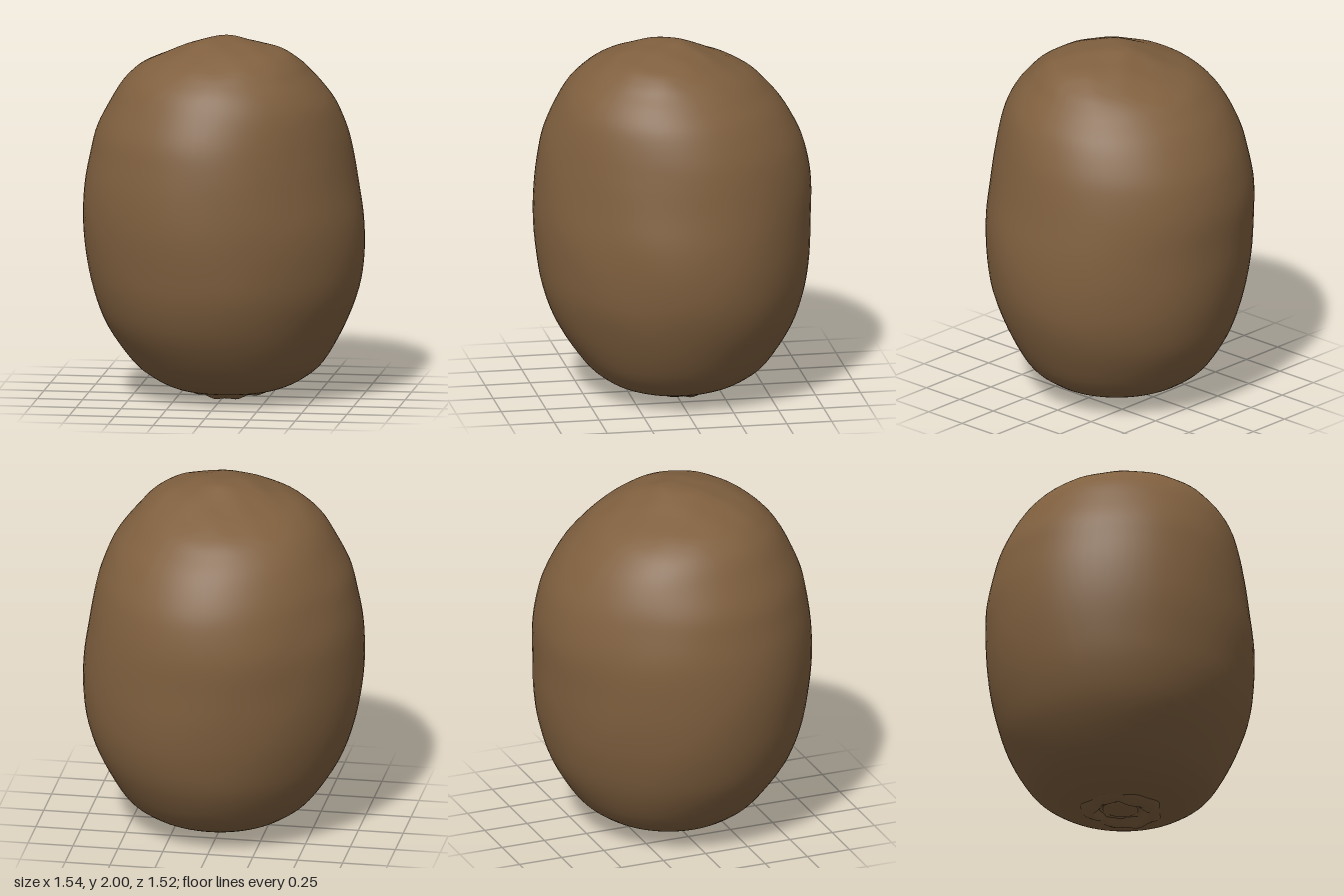
import * as THREE from 'three';

const SEGMENTS = 72;
const { smoothstep } = THREE.MathUtils;

// Cross-sections, bottom to top: [y, right x, left x, back z, front z]
const BODY = [
  [0.045, 0, 0, 0, 0],
  [0.042, -0.11, 0.13, -0.12, 0.11],
  [0.04, -0.22, 0.25, -0.23, 0.21],
  [0.062, -0.3, 0.34, -0.32, 0.31],
  [0.11, -0.395, 0.44, -0.42, 0.4],
  [0.2, -0.505, 0.545, -0.525, 0.5],
  [0.4, -0.64, 0.66, -0.65, 0.635],
  [0.6, -0.715, 0.735, -0.712, 0.712],
  [0.8, -0.755, 0.765, -0.742, 0.745],
  [1.0, -0.77, 0.762, -0.752, 0.76],
  [1.2, -0.762, 0.73, -0.757, 0.752],
  [1.37, -0.73, 0.7, -0.73, 0.73],
  [1.5, -0.695, 0.668, -0.685, 0.7],
  [1.64, -0.625, 0.613, -0.605, 0.645],
  [1.74, -0.565, 0.545, -0.52, 0.59],
  [1.81, -0.5, 0.485, -0.445, 0.53],
  [1.87, -0.415, 0.43, -0.34, 0.46],
  [1.93, -0.27, 0.345, -0.21, 0.355],
  [1.97, -0.17, 0.2, -0.12, 0.23],
  [1.993, -0.09, 0.09, -0.06, 0.11],
  [2.0, 0, 0, 0, 0],
];

// Puckered rim around the blossom scar, from its inner to its outer edge
const RIM = [
  [0.05, -0.1, 0.12, -0.11, 0.09],
  [0.03, -0.12, 0.15, -0.13, 0.11],
  [0.011, -0.14, 0.18, -0.155, 0.135],
  [0.018, -0.17, 0.21, -0.18, 0.165],
  [0.034, -0.2, 0.24, -0.21, 0.195],
  [0.06, -0.23, 0.27, -0.24, 0.22],
];

// Dried button in the middle of the scar
const BUTTON = [
  [0.03, 0, 0, 0, 0],
  [0.031, -0.05, 0.06, -0.05, 0.05],
  [0.036, -0.08, 0.1, -0.09, 0.07],
  [0.05, -0.1, 0.12, -0.11, 0.09],
];

// Smooth skin through the cross-sections; warp(point, angle) adds irregularity
function loft(name, rows, steps, material, warp) {
  const xs = new THREE.CatmullRomCurve3(rows.map(r => new THREE.Vector3(r[1], r[0], r[2])), false, 'catmullrom', 0.5);
  const zs = new THREE.CatmullRomCurve3(rows.map(r => new THREE.Vector3(r[3], r[0], r[4])), false, 'catmullrom', 0.5);
  const positions = [];
  const indices = [];
  for (let i = 0; i <= steps; i++) {
    const ex = xs.getPoint(i / steps);
    const ez = zs.getPoint(i / steps);
    for (let j = 0; j < SEGMENTS; j++) {
      const a = (j / SEGMENTS) * Math.PI * 2;
      const p = new THREE.Vector3(
        (ex.x + ex.z) / 2 + Math.cos(a) * (ex.z - ex.x) / 2,
        ex.y,
        (ez.x + ez.z) / 2 + Math.sin(a) * (ez.z - ez.x) / 2);
      warp(p, a);
      positions.push(p.x, THREE.MathUtils.clamp(p.y, 0, 2), p.z);
      if (i < steps) {
        const k = (j + 1) % SEGMENTS;
        const lower = i * SEGMENTS;
        const upper = lower + SEGMENTS;
        indices.push(lower + j, upper + j, upper + k, lower + j, upper + k, lower + k);
      }
    }
  }
  const geometry = new THREE.BufferGeometry();
  geometry.setAttribute('position', new THREE.Float32BufferAttribute(positions, 3));
  geometry.setIndex(indices);
  geometry.computeVertexNormals();
  const mesh = new THREE.Mesh(geometry, material);
  mesh.name = name;
  return mesh;
}

// Slightly lopsided waist with gentle dents over the skin
function shapeSkin(p, a) {
  const waist = smoothstep(p.y, 0.1, 0.5) * (1 - smoothstep(p.y, 1.4, 1.75));
  const skew = -0.024 * Math.sin(2 * a) - 0.006 * (1 - Math.cos(4 * a));
  const dent = Math.sin(p.x * 9 + p.y * 4) * Math.sin(p.z * 8 - p.y * 5 + 1);
  const s = 1 + waist * skew + 0.003 * dent;
  p.x *= s;
  p.z *= s;
  // Slight roughness around the stem end
  p.y += 0.004 * smoothstep(p.y, 1.7, 2) * Math.sin(p.x * 24 + 1) * Math.sin(p.z * 21 + 2);
}

// Uneven folds along the rim
function foldRim(p, a) {
  const s = 1 + 0.03 * Math.sin(a * 5 + 1) + 0.015 * Math.sin(a * 11);
  p.x *= s;
  p.z *= s;
  p.y += 0.006 * Math.sin(a * 3) + 0.005 * Math.sin(a * 8 + 2);
}

export function createModel() {
  const skin = new THREE.MeshStandardMaterial({ color: 0x80603f });
  skin.name = 'brown skin';
  const model = new THREE.Group();
  model.name = 'kiwifruit';
  model.add(
    loft('body', BODY, 80, skin, shapeSkin),
    loft('blossomRim', RIM, 15, skin, foldRim),
    loft('blossomButton', BUTTON, 9, skin, () => {}));
  return model;
}
